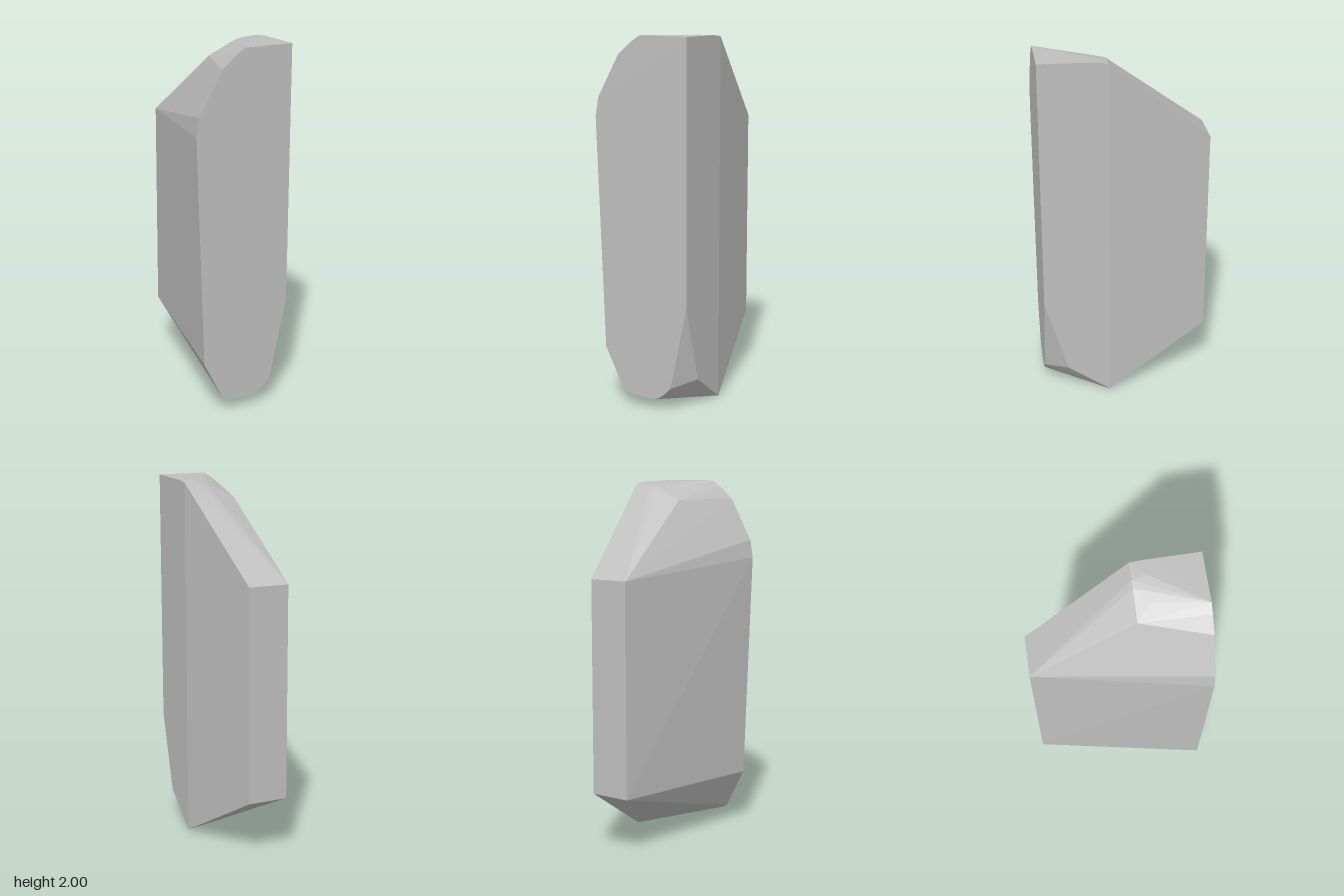
import * as THREE from 'three';
import { ConvexGeometry } from 'three/addons/geometries/ConvexGeometry.js';

export function createModel() {
  const model = new THREE.Group();
  const stone = new THREE.MeshStandardMaterial({ color: 0xbfbfbf });
  stone.name = 'grey stone';

  // Flat front face outline (x, y)
  const front = [
    [0.273, 2], [0, 2], [-0.05, 1.968], [-0.13, 1.9], [-0.258, 1.67], [-0.275, 1.57],
    [-0.23, 0.31], [-0.12, 0.09], [-0.1, 0.073], [-0.06, 0.064], [0.07, 0.06],
    [0.105, 0.073], [0.15, 0.11], [0.173, 0.137], [0.19, 0.205], [0.273, 0.6],
  ].map(([x, y]) => new THREE.Vector3(x, y, 0.461));

  // Narrow back face
  const back = [
    [-0.064, 0.33], [0.16, 0.33], [0.16, 1.5], [-0.064, 1.5],
  ].map(([x, y]) => new THREE.Vector3(x, y, -0.461));

  // Ridge on the left side, chipped lower corner and worn top
  const ridge = [
    [0.273, 0, 0.1], [0.273, 1.985, 0.1], [0.273, 0.17, 0.335],
    [0.273, 1.994, 0.18], [0.19, 1.993, 0.18], [0.18, 1.98, 0.1],
    [0.14, 1.97, 0.1], [0.06, 1.955, 0.17], [-0.015, 1.9, 0.1],
  ].map((p) => new THREE.Vector3(...p));

  const block = new THREE.Mesh(new ConvexGeometry([...front, ...back, ...ridge]), stone);
  block.name = 'stoneBlock';
  model.add(block);
  return model;
}
